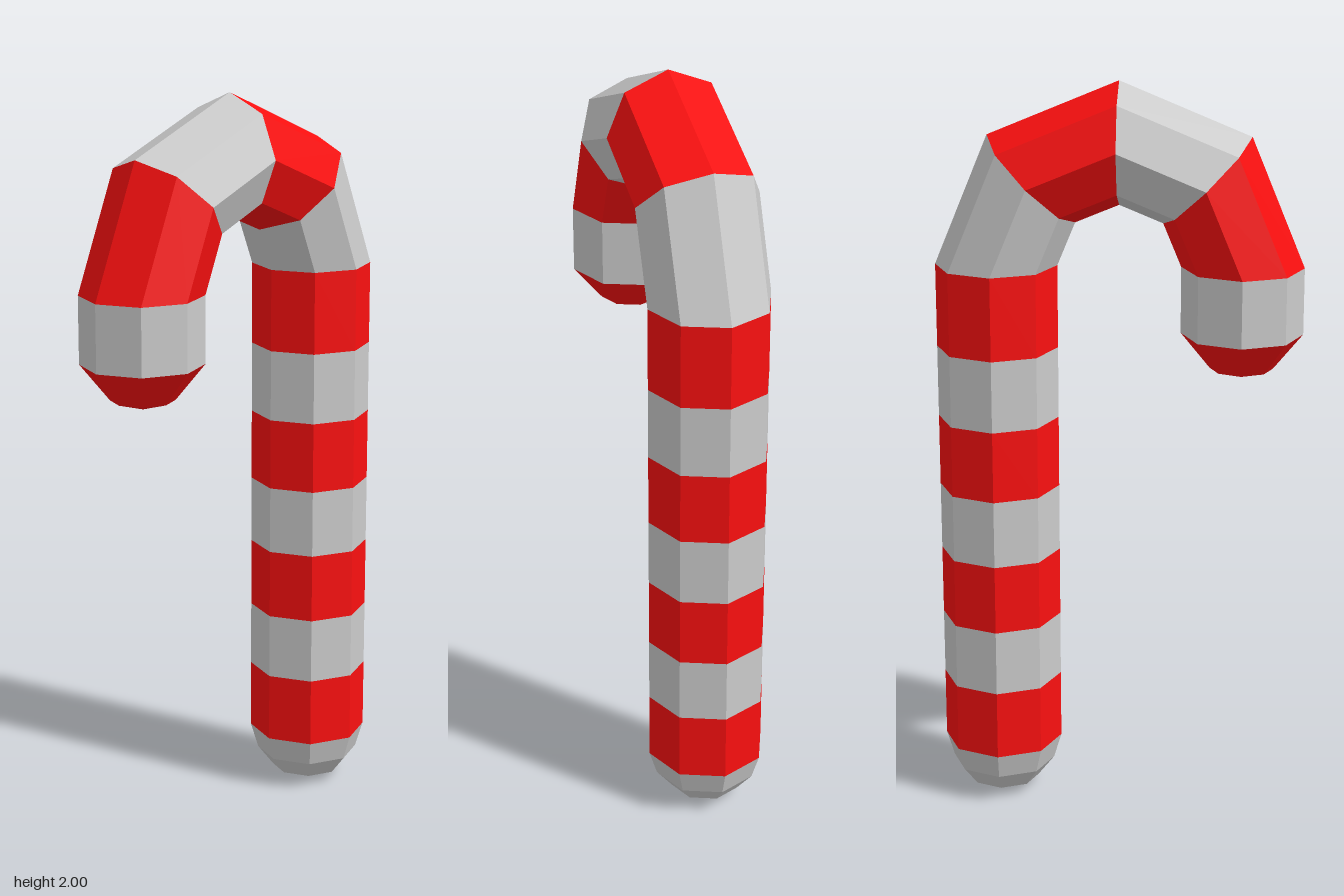
import * as THREE from 'three';

const SIDES = 8, RADIUS = 0.163, BEND = 0.327, BEND_Y = 1.51;

// Cross-section of the cane: centre, outward direction in the xy plane, radius
const shaftRing = (y, r = RADIUS) => ({ x: BEND, y, ux: 1, uy: 0, r });
const tipRing = (y, r = RADIUS) => ({ x: -BEND, y, ux: -1, uy: 0, r });
const hookRing = (angle) => {
  const ux = Math.cos(angle), uy = Math.sin(angle);
  return { x: BEND * ux, y: BEND_Y + BEND * uy, ux, uy, r: RADIUS };
};

// Faceted skin through consecutive rings; a ring of zero radius closes the end
function skin(rings) {
  const positions = [], index = [];
  for (const { x, y, ux, uy, r } of rings) {
    for (let i = 0; i < SIDES; i++) {
      const a = (i / SIDES) * Math.PI * 2, c = r * Math.cos(a);
      positions.push(x + c * ux, y + c * uy, r * Math.sin(a));
    }
  }
  for (let k = 0; k < rings.length - 1; k++) {
    for (let i = 0; i < SIDES; i++) {
      const j = (i + 1) % SIDES;
      const a = k * SIDES + i, b = k * SIDES + j, c = a + SIDES, d = b + SIDES;
      if (rings[k + 1].r > 0) index.push(a, c, d);
      if (rings[k].r > 0) index.push(a, d, b);
    }
  }
  const geometry = new THREE.BufferGeometry();
  geometry.setAttribute('position', new THREE.Float32BufferAttribute(positions, 3));
  geometry.setIndex(index);
  geometry.computeVertexNormals();
  return geometry;
}

export function createModel() {
  const group = new THREE.Group();
  group.name = 'candyCane';
  const grey = new THREE.MeshStandardMaterial({ color: 0xcccccc, flatShading: true });
  const red = new THREE.MeshStandardMaterial({ color: 0xfa1010, flatShading: true });

  const add = (name, rings, material) => {
    const mesh = new THREE.Mesh(skin(rings), material);
    mesh.name = name;
    group.add(mesh);
  };

  // Rounded foot
  add('foot', [shaftRing(0, 0), shaftRing(0.025, 0.098), shaftRing(0.08, 0.142), shaftRing(0.15)], grey);

  // Straight shaft with alternating stripes
  const levels = [0.15, 0.34, 0.52, 0.71, 0.895, 1.09, 1.285, BEND_Y];
  for (let i = 0; i < levels.length - 1; i++) {
    add(`shaftStripe${i + 1}`, [shaftRing(levels[i]), shaftRing(levels[i + 1])], i % 2 ? grey : red);
  }

  // Hook in four mitred segments
  for (let i = 0; i < 4; i++) {
    const step = Math.PI / 4;
    add(`hookStripe${i + 1}`, [hookRing(i * step), hookRing((i + 1) * step)], i % 2 ? red : grey);
  }

  // Short drop at the end of the hook and its rounded tip
  add('hookEnd', [tipRing(BEND_Y), tipRing(1.33)], grey);
  add('hookTip', [tipRing(1.33), tipRing(1.235, 0.085), tipRing(1.21, 0)], red);

  return group;
}
